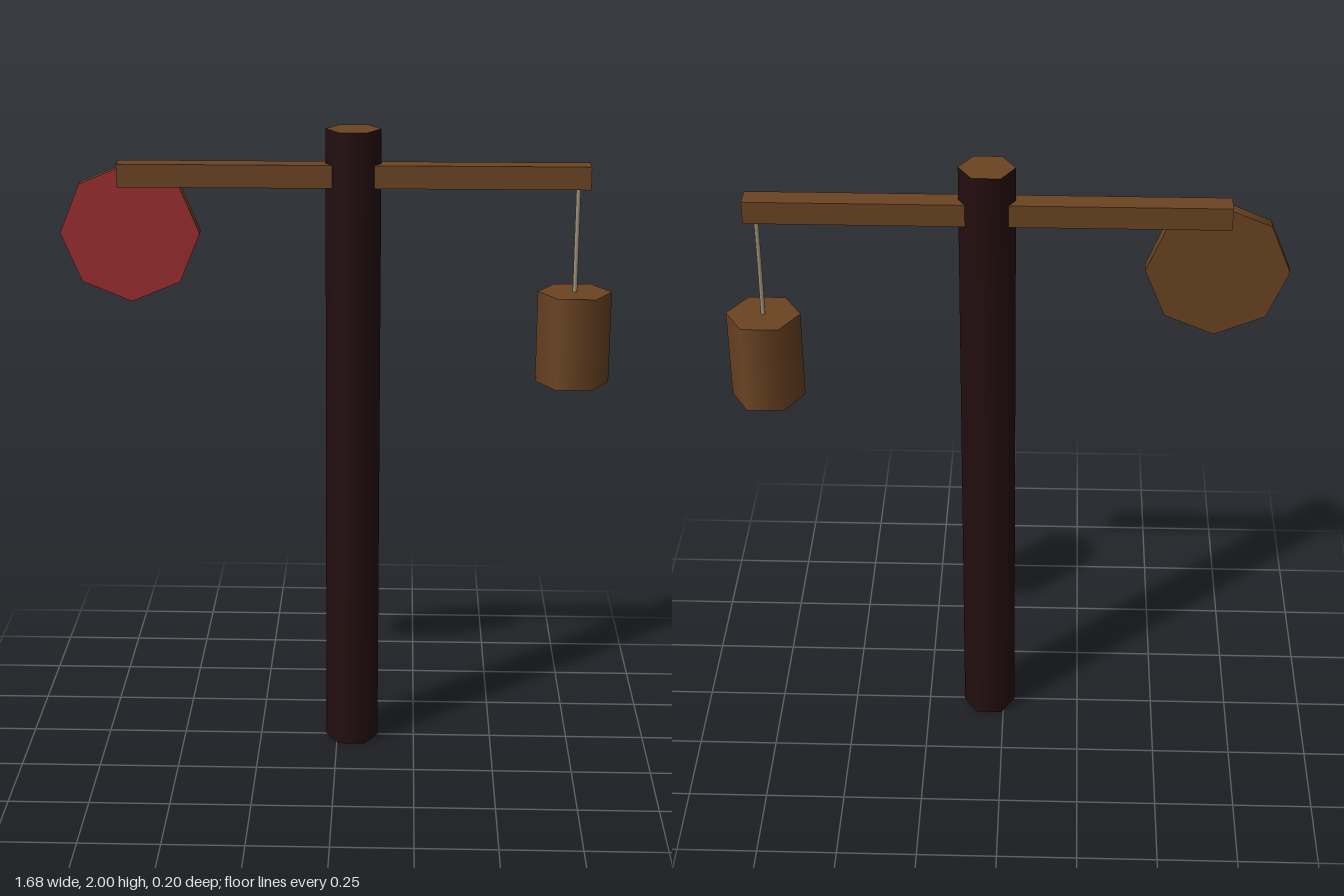
import * as THREE from 'three';

export function createModel() {
  const model = new THREE.Group();
  const mat = (name, color) => {
    const m = new THREE.MeshStandardMaterial({ color });
    m.name = name;
    return m;
  };
  const wood = mat('brown wood', 0x6b4423);
  const darkWood = mat('dark wood', 0x250f10);
  const red = mat('red paint', 0x9b2d30);
  const rope = mat('rope', 0xa3967c);

  const add = (name, geometry, material, x, y, z = 0) => {
    const mesh = new THREE.Mesh(geometry, material);
    mesh.name = name;
    mesh.position.set(x, y, z);
    model.add(mesh);
    return mesh;
  };
  // Six-sided prism with corners pointing along x
  const hexPrism = (r, h) => new THREE.CylinderGeometry(r, r, h, 6, 1, false, Math.PI / 6);

  // Upright post: dark sides, bare wood ends
  add('post', hexPrism(0.084, 2), [darkWood, wood, wood], 0.048, 1);

  // Crossbeam through the post
  add('crossbeam', new THREE.BoxGeometry(1.426, 0.07, 0.07), wood, 0.048, 1.86);

  // Octagonal target, painted on the front face only
  const disc = new THREE.CylinderGeometry(0.213, 0.213, 0.042, 8);
  disc.rotateX(Math.PI / 2);
  add('target', disc, [wood, red, wood], -0.631, 1.681);

  // Hanging weight on its rope
  add('rope', hexPrism(0.007, 0.34), rope, 0.726, 1.665);
  add('hangingWeight', hexPrism(0.113, 0.286), wood, 0.726, 1.361);

  return model;
}
